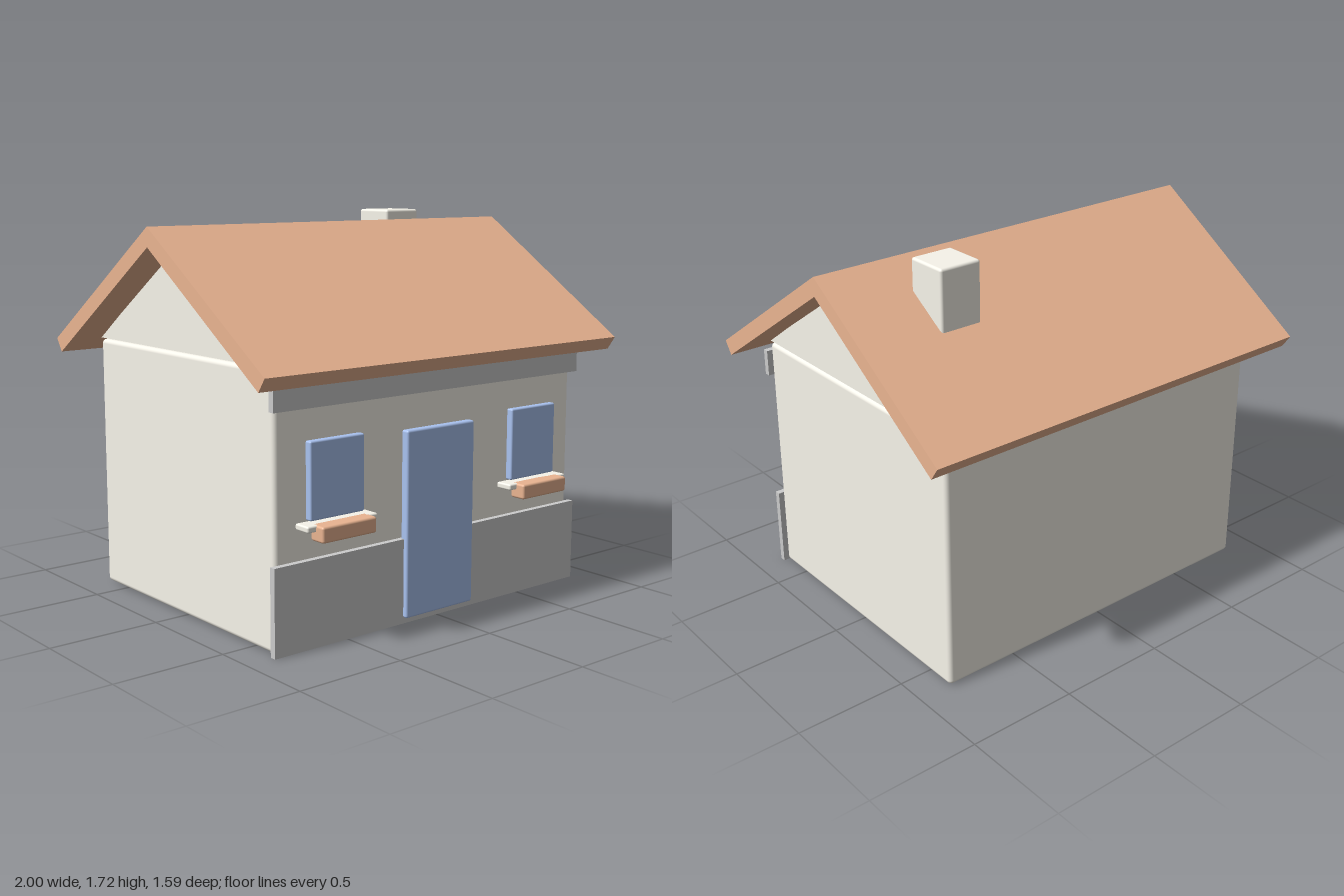
import * as THREE from 'three';
import { RoundedBoxGeometry } from 'three/addons/geometries/RoundedBoxGeometry.js';

const paint = (color) => new THREE.MeshStandardMaterial({ color });

export function createModel() {
  const house = new THREE.Group();
  house.name = 'house';
  const plaster = paint(0xf7f4ea);
  const stone = paint(0xcccccc);
  const blue = paint(0xa9c2f0);
  const terracotta = paint(0xeab491);

  const add = (name, geometry, material, parent = house) => {
    const mesh = new THREE.Mesh(geometry, material);
    mesh.name = name;
    parent.add(mesh);
    return mesh;
  };

  // Box given by its [min, max] ranges, with rounded edges when radius > 0
  const block = (name, [x0, x1], [y0, y1], [z0, z1], radius, material, parent) => {
    const size = [x1 - x0, y1 - y0, z1 - z0];
    const geometry = radius
      ? new RoundedBoxGeometry(...size, 3, radius)
      : new THREE.BoxGeometry(...size);
    add(name, geometry, material, parent)
      .position.set((x0 + x1) / 2, (y0 + y1) / 2, (z0 + z1) / 2);
  };

  // Prism running along x from a [z, y] cross-section
  const prism = (name, points, length, material) => {
    const shape = new THREE.Shape(points.map(([z, y]) => new THREE.Vector2(-z, y)));
    const geometry = new THREE.ExtrudeGeometry(shape, { depth: length, bevelEnabled: false });
    geometry.translate(0, 0, -length / 2).rotateY(Math.PI / 2);
    add(name, geometry, material);
  };

  // Walls and gable
  block('walls', [-0.855, 0.855], [0.005, 1.145], [-0.65, 0.653], 0.02, plaster);
  prism('gable', [[0.655, 1.15], [0, 1.605], [-0.655, 1.15]], 1.7, plaster);

  // Pitched roof: two slabs meeting at the ridge
  prism('roof', [
    [0, 1.675], [-0.797, 1.145], [-0.757, 1.087],
    [0, 1.591], [0.757, 1.087], [0.797, 1.145],
  ], 2, terracotta);

  // Chimney
  block('chimney', [0.43, 0.63], [1.32, 1.715], [-0.345, -0.145], 0.012, plaster);

  // Front plinth and frieze
  block('plinth', [-0.875, 0.875], [0, 0.37], [0.652, 0.68], 0, stone);
  block('frieze', [-0.875, 0.875], [0.985, 1.105], [0.652, 0.68], 0, stone);

  // Door
  block('door', [-0.195, 0.195], [0.025, 0.837], [0.66, 0.7], 0.01, blue);

  // Windows with sill and flower box
  for (const side of [-1, 1]) {
    const bay = new THREE.Group();
    bay.name = side > 0 ? 'leftWindow' : 'rightWindow';
    bay.position.x = side * 0.57;
    block('pane', [-0.14, 0.14], [0.535, 0.857], [0.665, 0.7], 0.008, blue, bay);
    block('sill', [-0.182, 0.182], [0.5, 0.527], [0.653, 0.735], 0.008, plaster, bay);
    block('flowerBox', [-0.14, 0.14], [0.46, 0.527], [0.7, 0.778], 0.01, terracotta, bay);
    house.add(bay);
  }
  return house;
}
